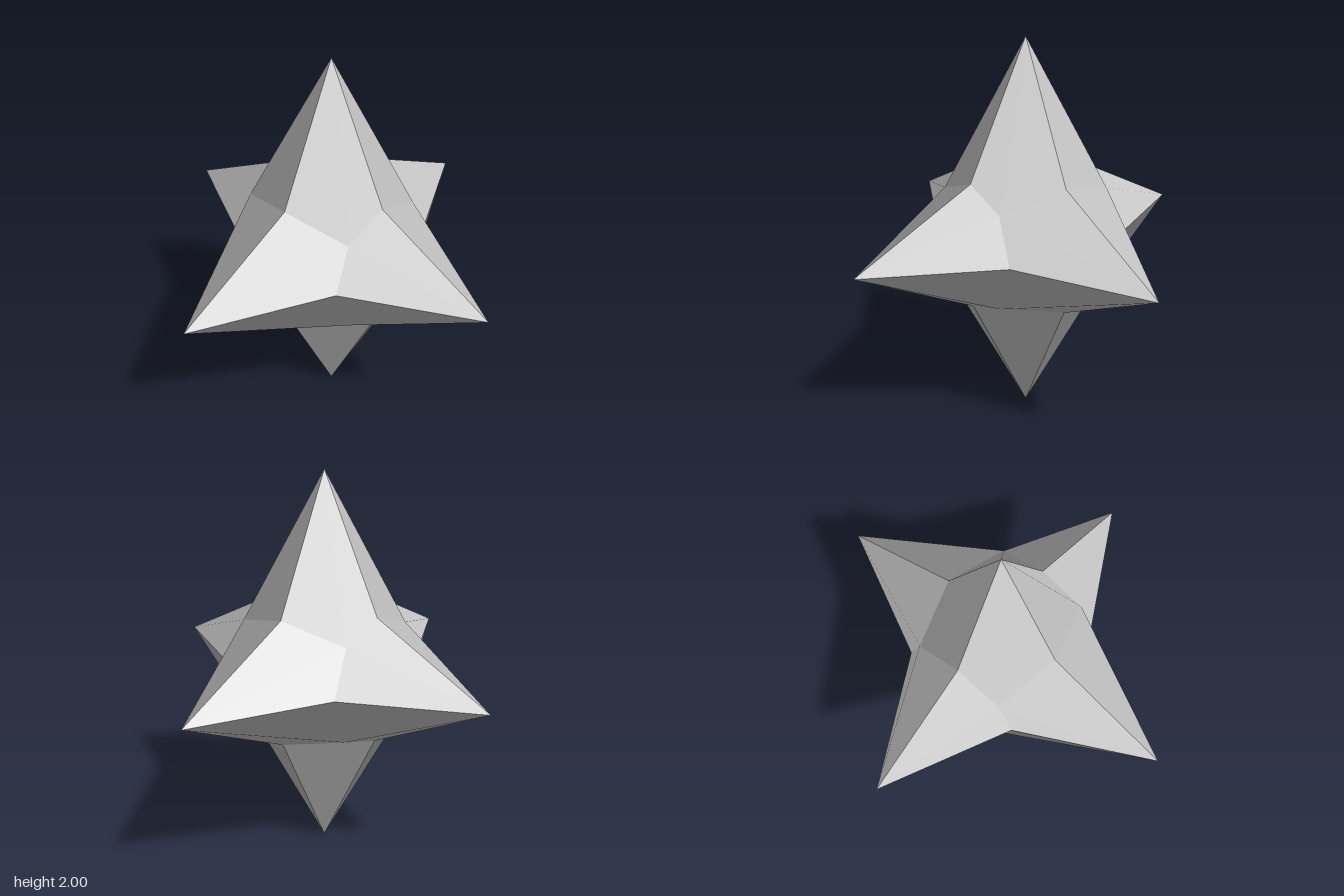
import * as THREE from 'three';

const TIP = [0.985, 1, 0.967];      // spike lengths along x, y, z
const NOTCH = 0.327;                // valley between two neighbouring spikes
const CORNER = [0.243, 0.243, 0.327]; // where three spikes meet in an octant

// One four-sided spike along an axis, each side a slightly folded kite.
function spikeGeometry(axis, dir) {
  const u = (axis + 1) % 3, v = (axis + 2) % 3;
  const positions = [], normals = [];
  for (const su of [1, -1]) {
    for (const sv of [1, -1]) {
      const point = (a, b, c) => {
        const p = [0, 0, 0];
        p[axis] = a * dir;
        p[u] = b * su;
        p[v] = c * sv;
        return new THREE.Vector3(...p);
      };
      const tip = point(TIP[axis], 0, 0);
      const corner = point(CORNER[axis], CORNER[u], CORNER[v]);
      let first = point(NOTCH, NOTCH, 0);
      let second = point(NOTCH, 0, NOTCH);
      if (dir * su * sv < 0) [first, second] = [second, first];

      // Both halves of a kite share one normal, so each side reads as one facet
      const normal = corner.clone().sub(tip).cross(second.clone().sub(first)).normalize();
      for (const p of [tip, first, corner, tip, corner, second]) {
        positions.push(p.x, p.y, p.z);
        normals.push(normal.x, normal.y, normal.z);
      }
    }
  }
  const geometry = new THREE.BufferGeometry();
  geometry.setAttribute('position', new THREE.Float32BufferAttribute(positions, 3));
  geometry.setAttribute('normal', new THREE.Float32BufferAttribute(normals, 3));
  return geometry;
}

export function createModel() {
  const star = new THREE.Group();
  star.name = 'star';
  const material = new THREE.MeshStandardMaterial({ color: 0xcccccc });
  const names = [['leftSpike', 'rightSpike'], ['topSpike', 'bottomSpike'], ['frontSpike', 'backSpike']];

  // Six spikes, two per axis
  names.forEach((pair, axis) => pair.forEach((name, i) => {
    const spike = new THREE.Mesh(spikeGeometry(axis, i === 0 ? 1 : -1), material);
    spike.name = name;
    spike.position.y = 1;
    star.add(spike);
  }));
  return star;
}
